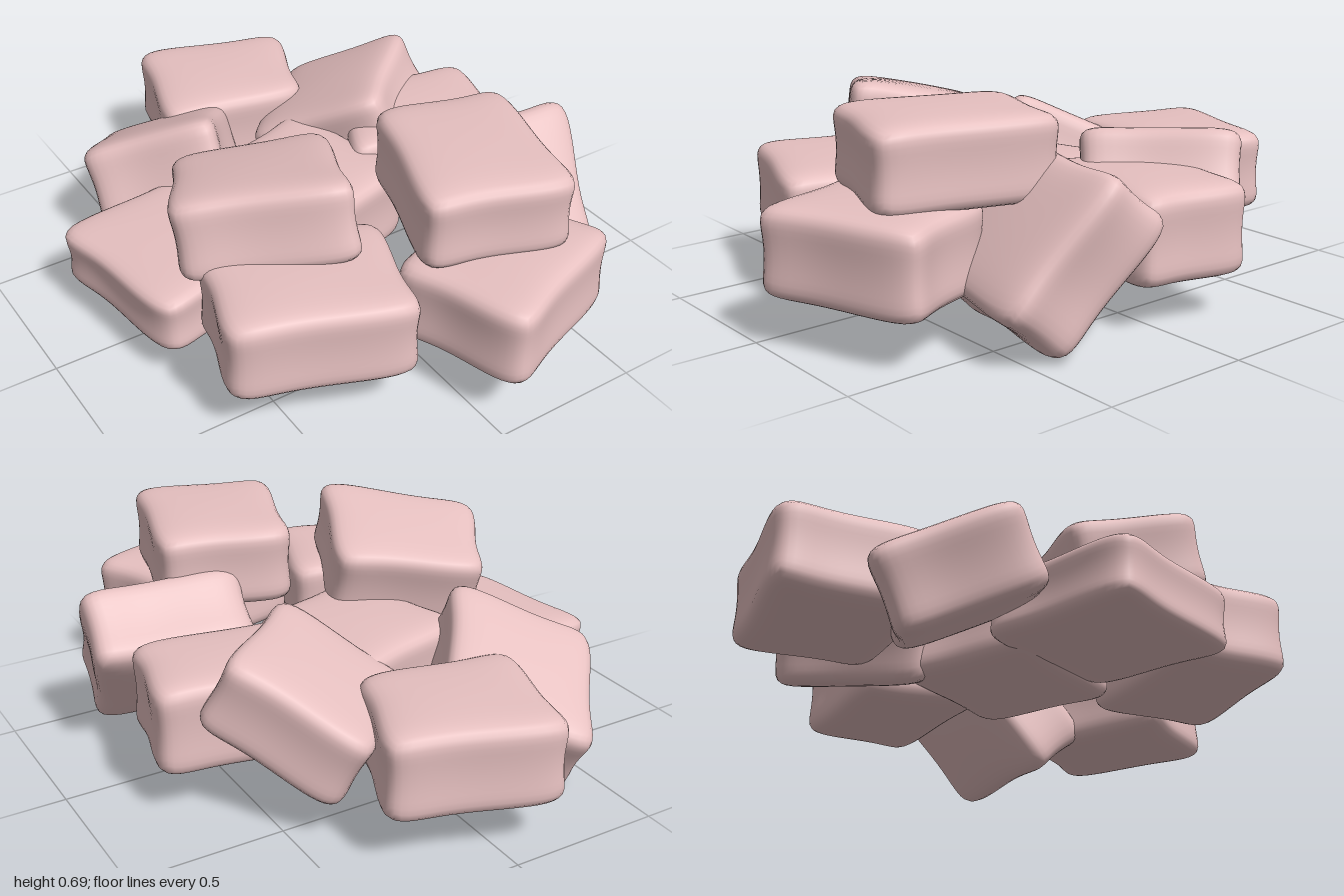
import * as THREE from 'three';
import { mergeVertices } from 'three/addons/utils/BufferGeometryUtils.js';

// Each chunk: four mid-plane corners [x, z] going round (back-left, back-right, front-right, front-left),
// centre height y, half thickness h, and slope [rise per x, rise per z].
const CHUNKS = [
  { name: 'backChunk', c: [[-0.18, -1.01], [0.35, -0.86], [0.22, -0.44], [-0.29, -0.51]], y: 0.293, h: 0.152 },
  { name: 'backRightTiltedChunk', c: [[-0.4, -0.8], [-0.02, -0.55], [-0.27, -0.17], [-0.64, -0.44]], y: 0.268, h: 0.15, slope: [0.02, 0.57] },
  { name: 'backLeftTiltedChunk', c: [[0.36, -0.69], [0.67, -0.38], [0.3, -0.01], [-0.01, -0.35]], y: 0.33, h: 0.145, slope: [0.37, 0.37] },
  { name: 'rightChunk', c: [[-0.84, -0.28], [-0.28, -0.35], [-0.2, 0.19], [-0.72, 0.29]], y: 0.225, h: 0.112, slope: [0.05, 0] },
  { name: 'middleChunk', c: [[-0.35, -0.21], [0.12, -0.38], [0.27, 0.12], [-0.19, 0.3]], y: 0.265, h: 0.15 },
  { name: 'leftChunk', c: [[0.29, -0.36], [0.78, -0.29], [0.73, 0.1], [0.13, 0.03]], y: 0.29, h: 0.16 },
  { name: 'leftLeaningChunk', c: [[0.27, 0.125], [0.81, 0.185], [0.73, 0.515], [0.2, 0.455]], y: 0.285, h: 0.15, slope: [0.14, -1.15] },
  { name: 'topRightChunk', c: [[-0.48, -0.13], [-0.02, 0.06], [-0.19, 0.53], [-0.67, 0.25]], y: 0.485, h: 0.145, slope: [0.02, 0.25] },
  { name: 'frontRightChunk', c: [[-0.61, 0.22], [-0.03, 0.34], [-0.14, 0.79], [-0.69, 0.61]], y: 0.293, h: 0.152 },
  { name: 'topLeftChunk', c: [[0.09, 0.15], [0.525, 0.24], [0.4, 0.81], [-0.07, 0.69]], y: 0.55, h: 0.143 },
  { name: 'frontChunk', c: [[-0.13, 0.59], [0.38, 0.42], [0.565, 0.8], [0.05, 1.02]], y: 0.293, h: 0.152 },
];

// Unit pillow with rounded edges, hollowed waist and gently swirled sides
function pillowGeometry() {
  const box = new THREE.BoxGeometry(2, 2, 2, 18, 14, 18);
  box.deleteAttribute('normal');
  box.deleteAttribute('uv');
  const geo = mergeVertices(box);
  const pos = geo.attributes.position;
  const P = 6.5;
  for (let i = 0; i < pos.count; i++) {
    let [u, v, w] = [pos.getX(i), pos.getY(i), pos.getZ(i)];
    const k = 1 / Math.pow(Math.abs(u) ** P + Math.abs(v) ** P + Math.abs(w) ** P, 1 / P);
    u *= k; v *= k; w *= k;
    const waist = 1 - 0.065 * (1 - v * v);
    pos.setXYZ(i,
      u * (1.025 + 0.075 * w * w) * waist - 0.035 * Math.sin(Math.PI * w),
      v * (0.96 + 0.04 * Math.cos(2 * u) * Math.cos(2 * w)),
      w * (1.025 + 0.075 * u * u) * waist + 0.035 * Math.sin(Math.PI * u));
  }
  return geo;
}

// Stretch the pillow over a sloping four-cornered plan
function chunkGeometry(pillow, { c, y, h, slope = [0, 0] }) {
  const geo = pillow.clone();
  const pos = geo.attributes.position;
  const normal = new THREE.Vector3(-slope[0], 1, -slope[1]).normalize();
  const mid = [0, 1].map((a) => c.reduce((sum, p) => sum + p[a] / 4, 0));
  const p = new THREE.Vector3();
  for (let i = 0; i < pos.count; i++) {
    const s = (pos.getX(i) + 1) / 2, t = (pos.getZ(i) + 1) / 2;
    const weights = [(1 - s) * (1 - t), s * (1 - t), s * t, (1 - s) * t];
    const [x, z] = [0, 1].map((a) => c.reduce((sum, q, n) => sum + q[a] * weights[n], 0));
    p.set(x, y + slope[0] * (x - mid[0]) + slope[1] * (z - mid[1]), z);
    p.addScaledVector(normal, pos.getY(i) * h);
    pos.setXYZ(i, p.x, p.y, p.z);
  }
  geo.computeVertexNormals();
  return geo;
}

export function createModel() {
  const group = new THREE.Group();
  group.name = 'chunkPile';
  const material = new THREE.MeshStandardMaterial({ color: 0xe6c0c0 });
  const pillow = pillowGeometry();
  for (const chunk of CHUNKS) {
    const mesh = new THREE.Mesh(chunkGeometry(pillow, chunk), material);
    mesh.name = chunk.name;
    group.add(mesh);
  }
  return group;
}
